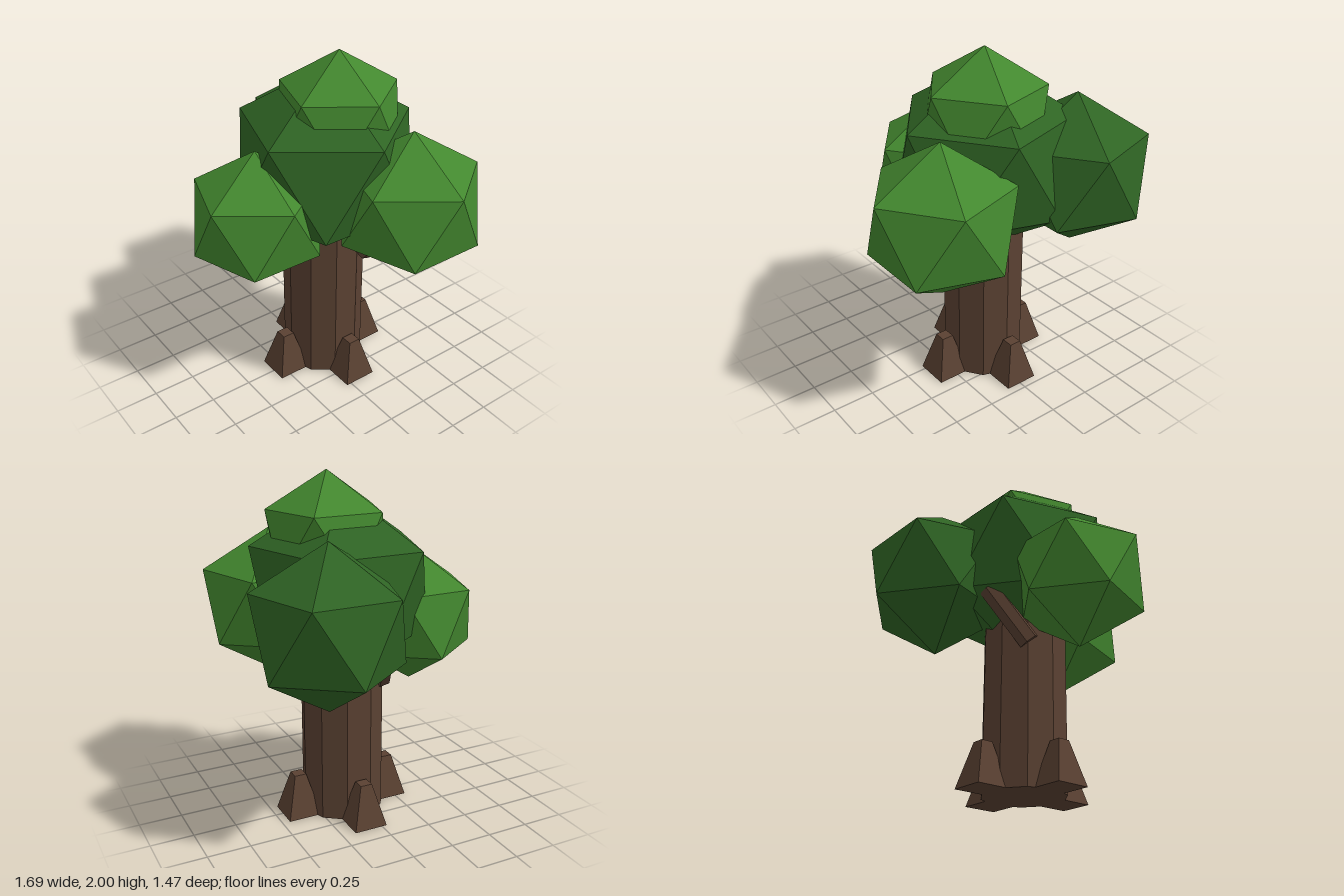
import * as THREE from 'three';

const CX = -0.01, CZ = -0.07; // trunk axis

function flat(name, hex) {
  const m = new THREE.MeshStandardMaterial({ color: hex });
  m.name = name;
  m.flatShading = true;
  return m;
}

// Icosahedron standing on a vertex, with an upper-ring vertex pointing to +x
function icosahedron(r) {
  const h = r / Math.sqrt(5), R = 2 * h;
  const pos = [0, r, 0];
  for (const [y, offset] of [[h, 0], [-h, Math.PI / 5]]) {
    for (let i = 0; i < 5; i++) {
      const a = offset + i * Math.PI * 0.4;
      pos.push(R * Math.cos(a), y, R * Math.sin(a));
    }
  }
  pos.push(0, -r, 0);
  const index = [];
  for (let i = 0; i < 5; i++) {
    const u = 1 + i, u2 = 1 + (i + 1) % 5, l = 6 + i, l2 = 6 + (i + 1) % 5;
    index.push(0, u2, u, u, u2, l, u2, l2, l, 11, l, l2);
  }
  const g = new THREE.BufferGeometry();
  g.setAttribute('position', new THREE.Float32BufferAttribute(pos, 3));
  g.setIndex(index);
  const out = g.toNonIndexed();
  out.computeVertexNormals();
  return out;
}

export function createModel() {
  const tree = new THREE.Group();
  tree.name = 'tree';
  const bark = flat('bark brown', 0x5a4132);
  const light = flat('light leaf green', 0x43882f);
  const dark = flat('dark leaf green', 0x2f6424);

  function add(name, geometry, material, x, y, z) {
    const mesh = new THREE.Mesh(geometry, material);
    mesh.name = name;
    mesh.position.set(x, y, z);
    tree.add(mesh);
    return mesh;
  }

  // Ten-sided trunk
  add('trunk', new THREE.CylinderGeometry(0.24, 0.24, 1.05, 10), bark, CX, 0.525, CZ);

  // Four square tapered roots
  const rootGeo = new THREE.CylinderGeometry(0.035 * Math.SQRT2, 0.1 * Math.SQRT2, 0.25, 4);
  rootGeo.rotateY(Math.PI / 4);
  for (let i = 0; i < 4; i++) {
    const a = i * Math.PI / 2;
    add('root', rootGeo, bark, CX + 0.285 * Math.sin(a), 0.125, CZ + 0.285 * Math.cos(a));
  }

  // Short branches reaching up into the leaves
  function branch(name, from, to, r) {
    const a = new THREE.Vector3(...from), b = new THREE.Vector3(...to);
    const dir = b.clone().sub(a);
    const mid = a.clone().add(b).multiplyScalar(0.5);
    const mesh = add(name, new THREE.CylinderGeometry(r, r, dir.length(), 6), bark, mid.x, mid.y, mid.z);
    mesh.quaternion.setFromUnitVectors(new THREE.Vector3(0, 1, 0), dir.normalize());
  }
  branch('leftBranch', [0.21, 0.81, -0.19], [0.42, 1.07, -0.3], 0.06);
  branch('rightBranch', [-0.14, 0.81, 0.12], [-0.36, 1.1, 0.03], 0.06);

  // Leaf clumps: name, material, radius, centre
  const clumps = [
    ['middleLeaves', dark, 0.5625, -0.013, 1.345, -0.08],
    ['topLeaves', light, 0.38, 0.035, 1.62, -0.135],
    ['frontLeaves', light, 0.405, -0.01, 1.135, 0.385],
    ['leftLeaves', light, 0.44, 0.45, 1.193, -0.317],
    ['rightLeaves', dark, 0.455, -0.44, 1.255, -0.35],
  ];
  for (const [name, material, r, x, y, z] of clumps) {
    add(name, icosahedron(r), material, x, y, z);
  }
  return tree;
}
